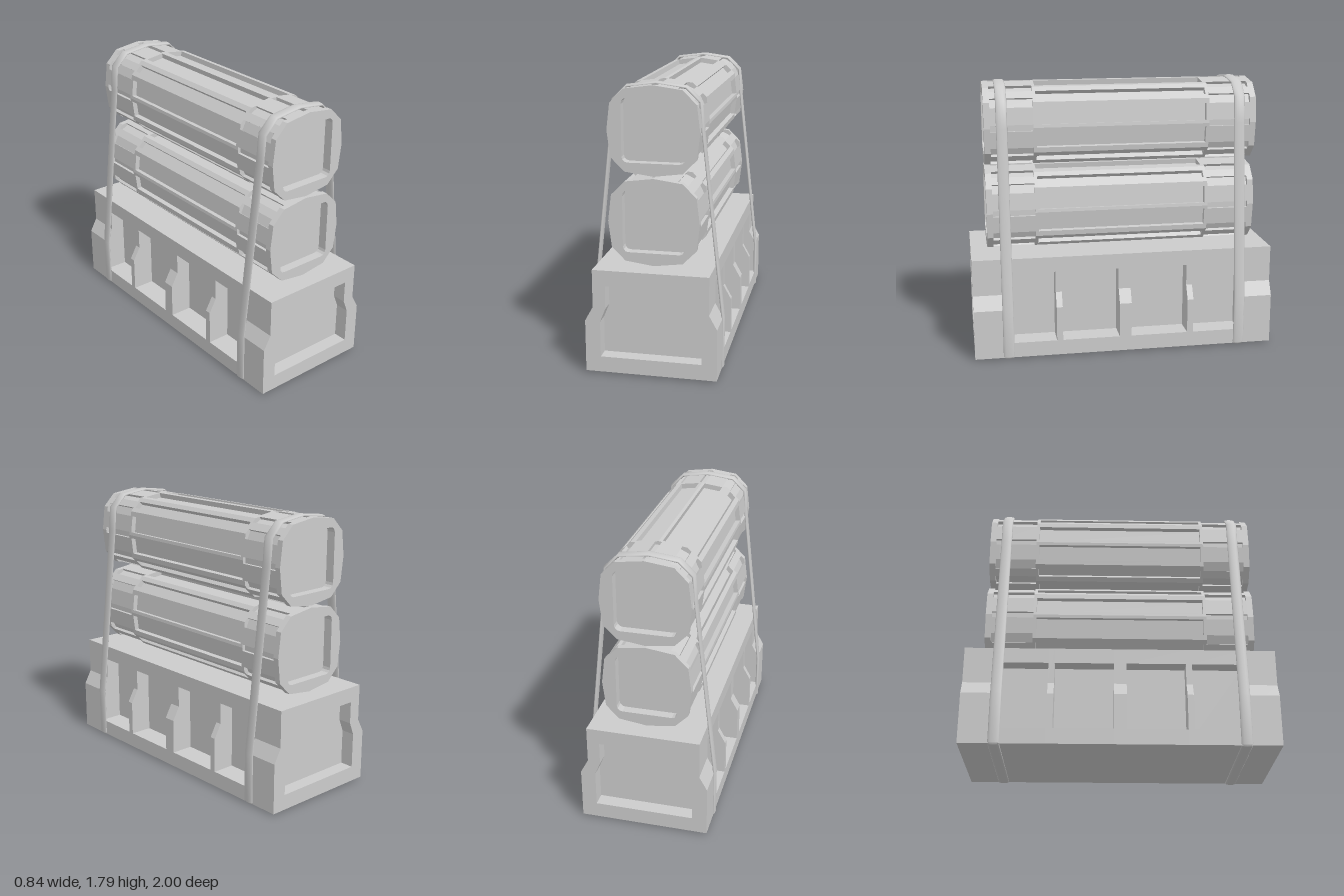
import * as THREE from 'three';

const V = (x, y) => new THREE.Vector2(x, y);
const mat = new THREE.MeshStandardMaterial({ color: 0xcccccc, flatShading: true });
const smooth = new THREE.MeshStandardMaterial({ color: 0xcccccc, side: THREE.DoubleSide });

// Right half profile (bottom to top) completed by its mirror image
const mirrored = (half) => [...half, ...half.filter((p) => p.x !== 0).reverse().map((p) => V(-p.x, p.y))];

// Prism of an outline between two z values, optionally with a hole
function slab(name, pts, z0, z1, hole) {
  const shape = new THREE.Shape(pts);
  if (hole) shape.holes.push(new THREE.Path(hole));
  const geo = new THREE.ExtrudeGeometry(shape, { depth: z1 - z0, bevelEnabled: false });
  geo.translate(0, 0, z0);
  const mesh = new THREE.Mesh(geo, mat);
  mesh.name = name;
  return mesh;
}

// Adds a slab and its mirror at the opposite end
function slabPair(group, name, pts, z0, z1, hole) {
  group.add(slab(name, pts, z0, z1, hole), slab(name, pts, -z1, -z0, hole));
}

// Stepped crate with recessed side bays and end panels
function makeBase() {
  const g = new THREE.Group();
  g.name = 'base';
  const full = mirrored([V(0.41, 0.01), V(0.41, 0.34), V(0.36, 0.43), V(0.36, 0.67)]);
  const bay = mirrored([V(0.41, 0.01), V(0.41, 0.11), V(0.26, 0.11), V(0.26, 0.57), V(0.36, 0.57), V(0.36, 0.67)]);
  const panel = mirrored([V(0.315, 0.11), V(0.315, 0.34), V(0.28, 0.425), V(0.28, 0.57)]);
  g.add(slab('basePost', full, -0.04, 0.04));
  slabPair(g, 'baseBay', bay, 0.04, 0.42);
  slabPair(g, 'basePost', full, 0.42, 0.46);
  slabPair(g, 'baseBay', bay, 0.46, 0.78);
  slabPair(g, 'baseBlock', full, 0.78, 0.91);
  slabPair(g, 'baseEnd', full, 0.91, 1, panel);
  return g;
}

// Twelve-sided canister outline, counter-clockwise
const RING = mirrored([
  V(0, -0.272), V(0.178, -0.248), V(0.262, -0.163), V(0.282, 0),
  V(0.262, 0.163), V(0.178, 0.248), V(0, 0.272),
]);
const near = (i) => (i % 3 === 0 ? 0.021 : 0.033); // rib half-width at a corner
const N = RING.length;

// Points on the edge leaving corner i, clear of the ribs, plus the inward normal
function edge(i) {
  const a = RING[i], b = RING[(i + 1) % N];
  const d = b.clone().sub(a).normalize();
  return {
    start: a.clone().addScaledVector(d, near(i)),
    end: b.clone().addScaledVector(d, -near((i + 1) % N)),
    inward: V(-d.y, d.x),
  };
}

// Outline with each face sunk between corner ribs
const panelled = (depth) => RING.flatMap((v, i) => {
  const { start, end, inward } = edge(i);
  return [v, start, start.clone().addScaledVector(inward, depth), end.clone().addScaledVector(inward, depth), end];
});

// Outline with a slot cut along each corner
const slotted = (depth) => RING.flatMap((v, i) => {
  const a = edge((i + N - 1) % N).end, b = edge(i).start;
  const inward = v.clone().normalize().multiplyScalar(-depth);
  return [a, a.clone().add(inward), b.clone().add(inward), b];
});

// Rounded square for the canister end recess
function roundedSquare(h, r) {
  const pts = [];
  for (let q = 0; q < 4; q++) {
    const cx = [1, -1, -1, 1][q] * (h - r), cy = [1, 1, -1, -1][q] * (h - r);
    for (let k = 0; k <= 3; k++) {
      const a = (q + k / 3) * Math.PI / 2;
      pts.push(V(cx + r * Math.cos(a), cy + r * Math.sin(a)));
    }
  }
  return pts;
}

function makeCanister(name, y) {
  const g = new THREE.Group();
  g.name = name;
  const slots = slotted(0.02), recess = roundedSquare(0.193, 0.035);
  g.add(slab('canisterBody', panelled(0.033), -0.555, 0.555));
  slabPair(g, 'canisterBand', RING, 0.555, 0.575);
  slabPair(g, 'canisterCollar', slots, 0.575, 0.83);
  slabPair(g, 'canisterCollarRim', slots, 0.83, 0.85, recess);
  slabPair(g, 'canisterEnd', RING, 0.85, 0.89, recess);
  g.position.y = y;
  return g;
}

// Strap loop: an oval section swept round a mitred closed path
function makeStrap(z) {
  const path = mirrored([
    V(0.4, 0.01), V(0.41, 0.02), V(0.41, 0.34), V(0.28, 1.51),
    V(0.266, 1.677), V(0.181, 1.76), V(0, 1.783),
  ]);
  const S = 12, n = path.length, pos = [], idx = [];
  path.forEach((p, i) => {
    const d0 = p.clone().sub(path[(i + n - 1) % n]).normalize();
    const d1 = path[(i + 1) % n].clone().sub(p).normalize();
    const m = V(d0.y + d1.y, -d0.x - d1.x).normalize();
    m.multiplyScalar(1 / m.dot(V(d1.y, -d1.x)));
    for (let k = 0; k < S; k++) {
      const a = (k / S) * Math.PI * 2, off = 0.01 * Math.cos(a);
      pos.push(p.x + m.x * off, p.y + m.y * off, z + 0.036 * Math.sin(a));
      const j = (i + 1) % n, l = (k + 1) % S;
      idx.push(i * S + k, j * S + k, j * S + l, i * S + k, j * S + l, i * S + l);
    }
  });
  const geo = new THREE.BufferGeometry();
  geo.setAttribute('position', new THREE.Float32BufferAttribute(pos, 3));
  // wind faces outward
  for (let t = 0; t < idx.length; t += 3) [idx[t + 1], idx[t + 2]] = [idx[t + 2], idx[t + 1]];
  geo.setIndex(idx);
  geo.computeVertexNormals();
  const mesh = new THREE.Mesh(geo, smooth);
  mesh.name = 'strap';
  return mesh;
}

export function createModel() {
  const model = new THREE.Group();
  model.name = 'strappedCanisters';
  model.add(makeBase(), makeCanister('lowerCanister', 0.953), makeCanister('upperCanister', 1.51));
  model.add(makeStrap(0.778), makeStrap(-0.778));
  return model;
}
